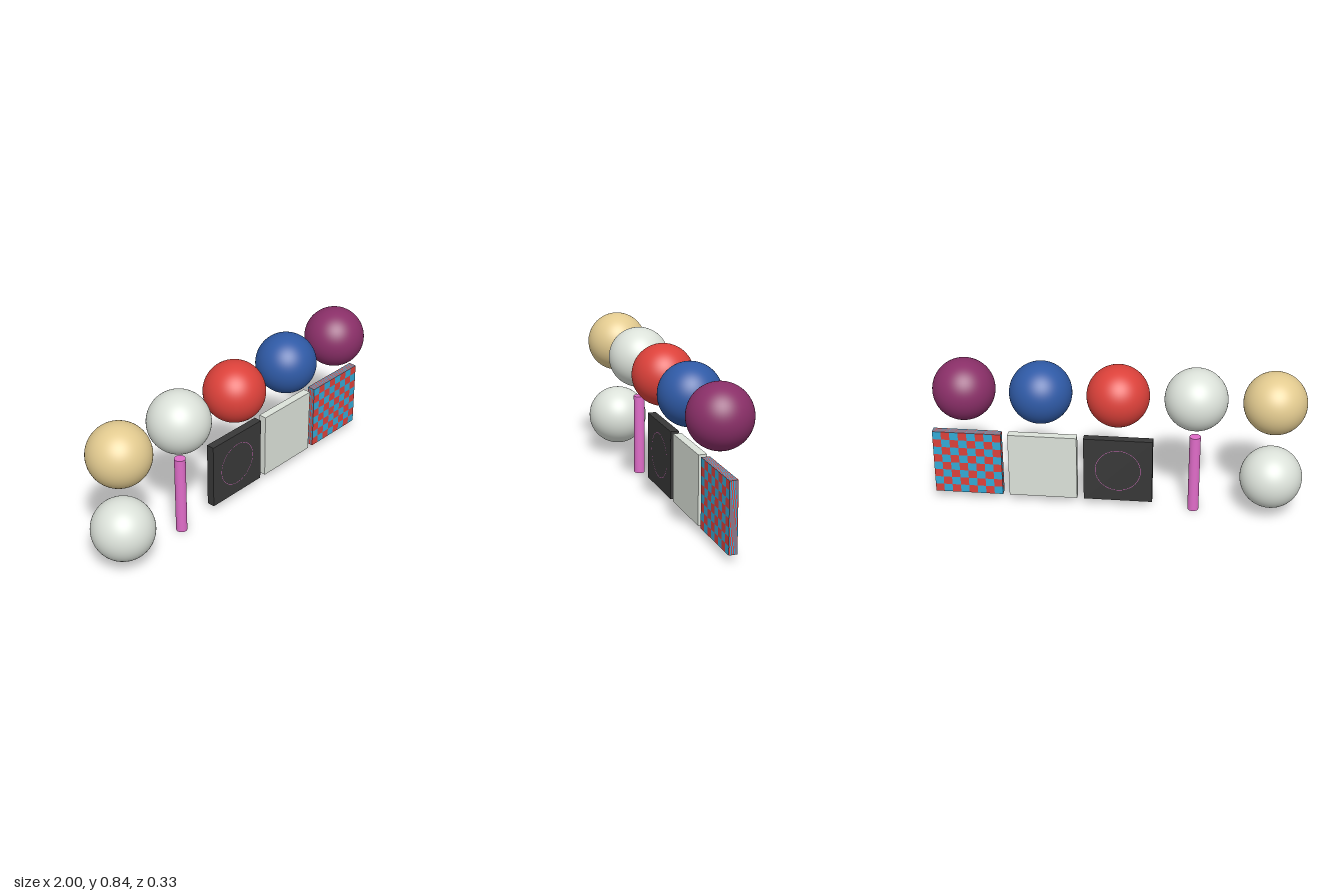
import * as THREE from 'three';

const mat = (name, color) => {
  const m = new THREE.MeshStandardMaterial({ color });
  m.name = name;
  return m;
};

// Box whose six faces each carry an n x n checker, using two material groups
function checkerBox(w, h, d, n) {
  const g = new THREE.BoxGeometry(w, h, d, n, n, n);
  const src = g.index.array;
  const cells = [[], []];
  for (let q = 0; q < src.length / 6; q++) {
    const k = q % (n * n);
    const parity = (Math.floor(k / n) + (k % n)) % 2;
    cells[parity].push(...src.slice(q * 6, q * 6 + 6));
  }
  g.setIndex([...cells[0], ...cells[1]]);
  g.clearGroups();
  g.addGroup(0, cells[0].length, 0);
  g.addGroup(cells[0].length, cells[1].length, 1);
  return g;
}

export function createModel() {
  const model = new THREE.Group();
  const sand = mat('sand', 0xe3cb90);
  const paleGrey = mat('pale grey', 0xdce2da);
  const red = mat('red', 0xdc413a);
  const blue = mat('blue', 0x2f5aa6);
  const plum = mat('plum', 0x8a2f68);
  const pink = mat('pink', 0xdf6cc8);
  const charcoal = mat('charcoal', 0x383838);
  const skyBlue = mat('sky blue', 0x33aad6);

  const add = (name, geometry, material, x, y) => {
    const mesh = new THREE.Mesh(geometry, material);
    mesh.name = name;
    mesh.position.set(x, y, 0);
    model.add(mesh);
  };

  // Five columns, two rows
  const columnX = (i) => -0.833 + i * 0.411;
  const top = 0.675, low = 0.227;
  const side = 0.374, depth = 0.045;

  // Row of balls, plus one ball below the first
  const ball = new THREE.SphereGeometry(0.167, 64, 40);
  [['sandBall', sand], ['paleBall', paleGrey], ['redBall', red], ['blueBall', blue], ['plumBall', plum]]
    .forEach(([name, material], i) => add(name, ball, material, columnX(i), top));
  add('lowerBall', ball, paleGrey, columnX(0), low);

  // Upright rod
  add('rod', new THREE.CylinderGeometry(0.03, 0.03, 0.451, 40), pink, columnX(1), 0.2255);

  // Panels
  const panel = new THREE.BoxGeometry(side, side, depth);
  add('darkPanel', panel, charcoal, columnX(2), low);
  add('palePanel', panel, paleGrey, columnX(3), low);
  add('checkerPanel', checkerBox(side, side, depth, 8), [skyBlue, red], columnX(4), low);

  // Ring sunk in the dark panel, just breaking its surface
  add('embeddedRing', new THREE.TorusGeometry(0.123, depth / 2 + 0.0001, 32, 64), pink, columnX(2), low);

  return model;
}
